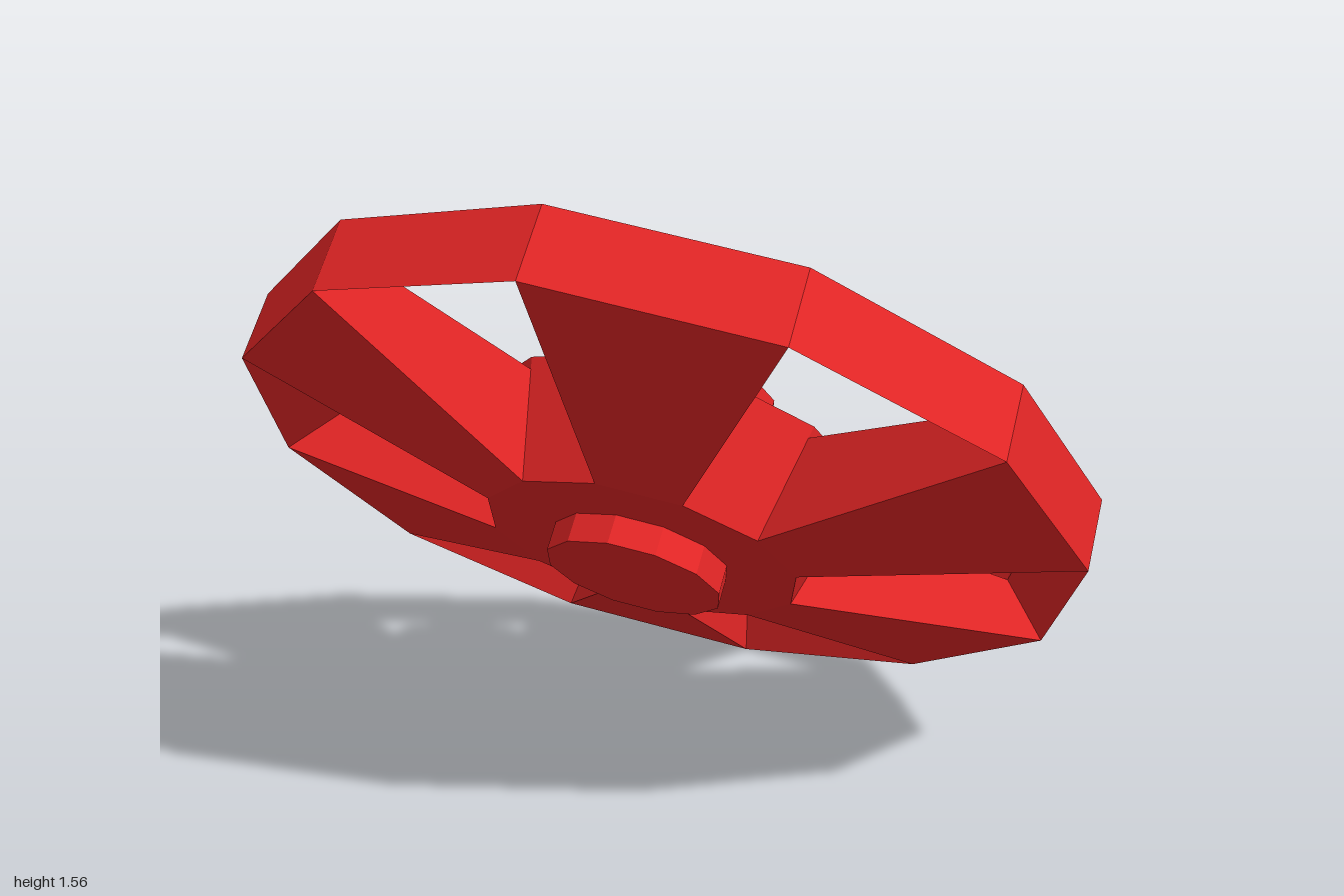
import * as THREE from 'three';

const SIDES = 12;
const STEP = (Math.PI * 2) / SIDES;
const material = new THREE.MeshStandardMaterial({ color: 0xe62626, flatShading: true });

function part(name, geometry) {
  const flat = geometry.index ? geometry.toNonIndexed() : geometry;
  flat.computeVertexNormals();
  const mesh = new THREE.Mesh(flat, material);
  mesh.name = name;
  return mesh;
}

// Twelve-sided turned part about the wheel's z axis; profile is [radius, z]
function turned(name, profile) {
  const points = profile.map(([r, z]) => new THREE.Vector2(r, z));
  return part(name, new THREE.LatheGeometry(points, SIDES).rotateX(Math.PI / 2));
}

// One side's worth of a turned solid: extrude the [radius, z] profile,
// then bend the depth into an angle
function wedge(name, profile, start) {
  const shape = new THREE.Shape(profile.map(([r, z]) => new THREE.Vector2(r, z)));
  const geometry = new THREE.ExtrudeGeometry(shape, { depth: 1, bevelEnabled: false });
  const pos = geometry.attributes.position;
  for (let i = 0; i < pos.count; i++) {
    const r = pos.getX(i);
    const z = pos.getY(i);
    const angle = start + pos.getZ(i) * STEP;
    pos.setXYZ(i, r * Math.sin(angle), r * Math.cos(angle), z);
  }
  return part(name, geometry);
}

export function createModel() {
  const wheel = new THREE.Group();
  wheel.name = 'wheel';

  // Rim, thinning to a sharp edge at the front
  wheel.add(turned('rim', [
    [0.885, -0.085], [1, -0.085], [1, 0.085], [0.885, -0.035], [0.885, -0.085],
  ]));

  // Hub with stepped axle boss behind, raised lip and front cap
  wheel.add(turned('hub', [
    [0, -0.28], [0.167, -0.28], [0.167, -0.221], [0.215, -0.221], [0.215, -0.04],
    [0.405, -0.04], [0.405, -0.062], [0.455, -0.062], [0.375, 0.207],
    [0.21, 0.207], [0.21, 0.276], [0, 0.276],
  ]));

  // Six tapered spokes, filling every other side
  for (let i = 0; i < SIDES; i += 2) {
    wheel.add(wedge('spoke', [
      [0.4, -0.035], [0.885, -0.035], [1, 0.085], [0.375, 0.207],
    ], i * STEP));
  }

  // Lean the wheel forward and rest it on the ground
  wheel.rotation.x = 0.764;
  wheel.position.y = 0.78;

  const model = new THREE.Group();
  model.name = 'tiltedWheel';
  model.add(wheel);
  return model;
}
